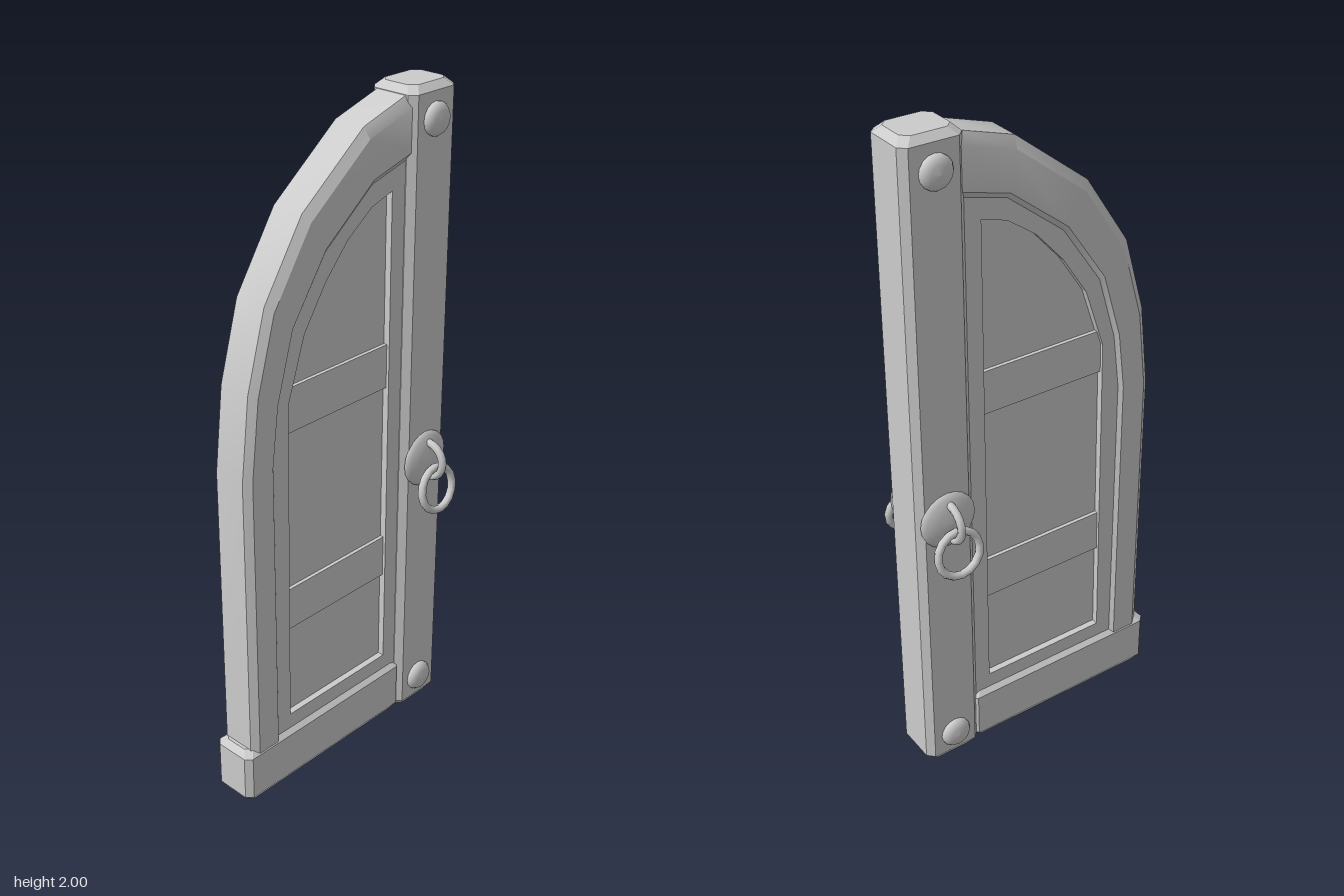
import * as THREE from 'three';
import { toCreasedNormals } from 'three/addons/utils/BufferGeometryUtils.js';

const wood = new THREE.MeshStandardMaterial({ color: 0xcccccc, side: THREE.DoubleSide });
const metal = new THREE.MeshStandardMaterial({ color: 0xcccccc });

function part(name, geometry, material, parent) {
  const mesh = new THREE.Mesh(geometry, material);
  mesh.name = name;
  parent.add(mesh);
  return mesh;
}

// Skin a list of closed cross-sections (arrays of [x, y, z])
function loft(rings) {
  const n = rings[0].length;
  const index = [];
  for (let i = 0; i < rings.length - 1; i++) {
    for (let j = 0; j < n; j++) {
      const a = i * n + j, b = i * n + (j + 1) % n;
      index.push(a, b, b + n, a, b + n, a + n);
    }
  }
  const g = new THREE.BufferGeometry();
  g.setAttribute('position', new THREE.Float32BufferAttribute(rings.flat(2), 3));
  g.setIndex(index);
  return toCreasedNormals(g, 0.5);
}

// Upright beam with chamfered edges and an open underside
function beam(x0, x1, y0, y1, depth, c) {
  const cx = (x0 + x1) / 2;
  const ring = (y, inset) => {
    const w = (x1 - x0) / 2 - inset, d = depth - inset;
    return [[w, d - c], [w, c - d], [w - c, -d], [c - w, -d], [-w, c - d], [-w, d - c], [c - w, d], [w - c, d]]
      .map(([x, z]) => [cx + x, y, z]);
  };
  const top = ring(y1, c);
  return loft([ring(y0, c), ring(y0 + c * 1.5, 0), ring(y1 - c, 0), top, top.map(() => [cx, y1, 0])]);
}

// Slab cut from an outline, centred on z = 0
function slab(points, half, hole) {
  const toVectors = (list) => list.map(([x, y]) => new THREE.Vector2(x, y));
  const shape = new THREE.Shape(toVectors(points));
  if (hole) shape.holes.push(new THREE.Path(toVectors(hole)));
  return new THREE.ExtrudeGeometry(shape, { depth: half * 2, bevelEnabled: false }).translate(0, 0, -half);
}

// Turned profile facing +z
function turned(profile, segments) {
  const points = profile.map(([r, h]) => new THREE.Vector2(r, h));
  return new THREE.LatheGeometry(points, segments).rotateX(Math.PI / 2);
}

export function createModel() {
  const door = new THREE.Group();
  door.name = 'archedDoor';

  // Outer and inner edges of the arch, from the foot up to the post
  const outer = [[-0.385, 0.1], [-0.385, 1.07], [-0.357, 1.32], [-0.293, 1.545], [-0.156, 1.755], [0.07, 1.93], [0.25, 1.985]];
  const inner = [[-0.278, 0.1], [-0.278, 1.09], [-0.257, 1.26], [-0.2, 1.455], [-0.077, 1.635], [0.098, 1.772], [0.25, 1.813]];
  const opening = [[-0.228, 0.235], [-0.218, 1.245], [-0.156, 1.43], [-0.077, 1.55], [0.008, 1.645], [0.098, 1.71], [0.177, 1.735], [0.177, 0.235]];

  // Chamfered arch frame
  const section = [[1, -0.055], [0.9, -0.067], [0.2, -0.067], [0, -0.05], [0, 0.05], [0.2, 0.067], [0.9, 0.067], [1, 0.055]];
  part('archFrame', loft(outer.map(([x, y], i) => section.map(([t, z]) =>
    [x + (inner[i][0] - x) * t, y + (inner[i][1] - y) * t, z]))), wood, door);

  // Trim around the recessed panel
  const leaf = [...inner, [0.25, 0.1]];
  part('panelTrim', slab(leaf, 0.056, opening), wood, door);
  part('panel', slab(leaf, 0.036), wood, door);

  // Cross rails
  for (const [name, y] of [['lowerRail', 0.595], ['upperRail', 1.222]]) {
    part(name, new THREE.BoxGeometry(0.42, 0.133, 0.094), wood, door).position.set(-0.018, y, 0);
  }

  part('plinth', beam(-0.413, 0.245, 0.005, 0.19, 0.07, 0.018), wood, door);
  part('post', beam(0.228, 0.41, 0, 2, 0.078, 0.02), wood, door);

  // Metalwork, the same on both faces of the post
  for (const [side, turn] of [['front', 0], ['back', Math.PI]]) {
    const fittings = new THREE.Group();
    fittings.name = side + 'Fittings';
    fittings.position.x = 0.318;
    fittings.rotation.y = turn;
    door.add(fittings);

    const rivet = turned([[0.047, 0], [0.047, 0.01], [0.04, 0.02], [0.025, 0.026], [0, 0.029]], 16);
    for (const y of [0.098, 1.905]) part('rivet', rivet, metal, fittings).position.set(0, y, 0.076);

    const plate = turned([[0.086, 0], [0.086, 0.006], [0.074, 0.014], [0.045, 0.024], [0, 0.028]], 20);
    part('handlePlate', plate, metal, fittings).position.set(0, 0.888, 0.076);

    const staple = part('staple', new THREE.TorusGeometry(0.055, 0.012, 8, 20), metal, fittings);
    staple.position.set(0, 0.888, 0.093);
    staple.rotation.y = Math.PI / 2;

    const ring = part('pullRing', new THREE.TorusGeometry(0.067, 0.012, 8, 16), metal, fittings);
    ring.position.set(0, 0.804, 0.131);
    ring.rotation.x = -0.17;
  }
  return door;
}
